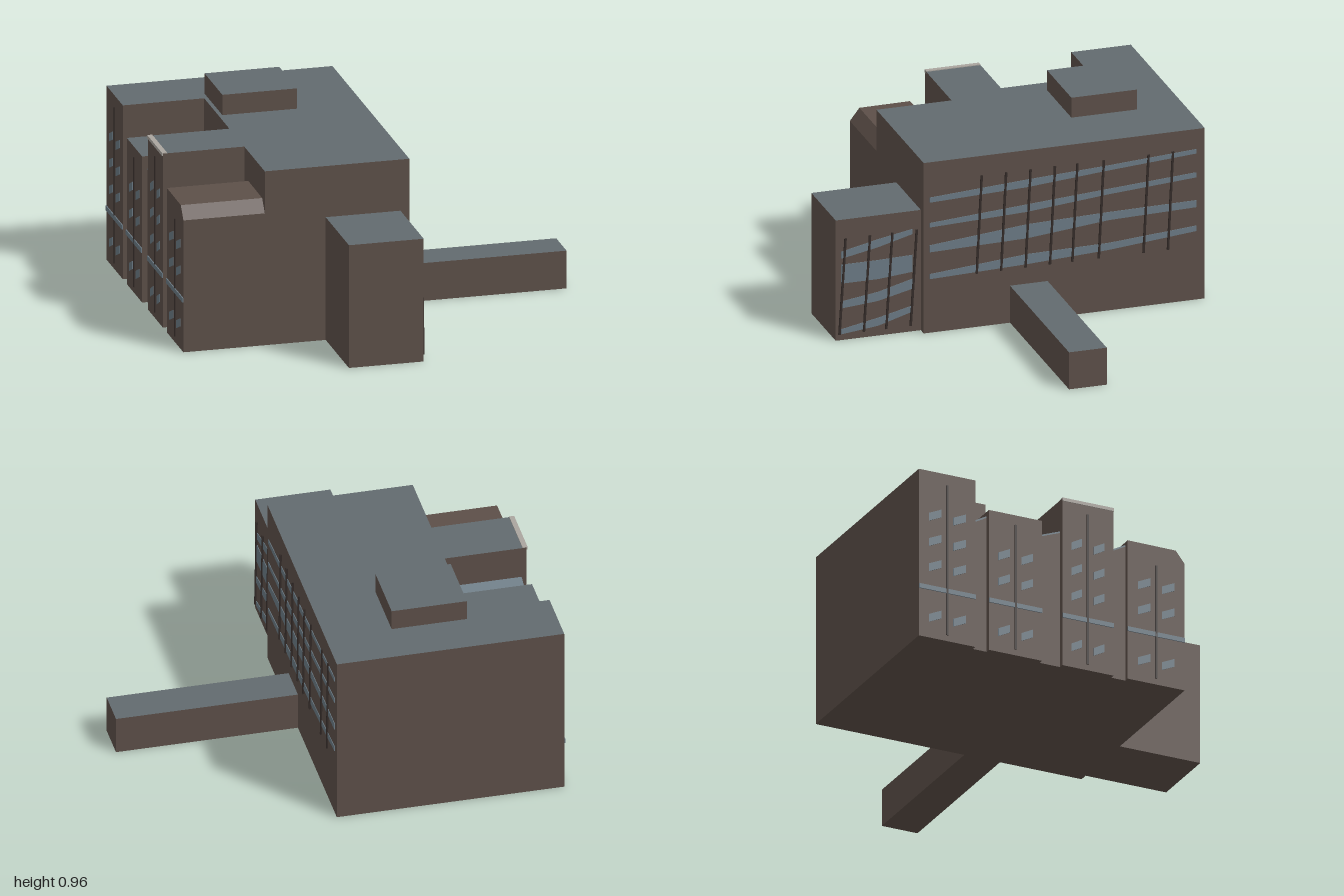
import * as THREE from 'three';

const mat = (name, color) => {
  const m = new THREE.MeshStandardMaterial({ color });
  m.name = name;
  return m;
};

export function createModel() {
  const wall = mat('brown wall', 0x5c4f48);
  const roof = mat('grey roof', 0x626a6e);
  const glass = mat('blue grey glass', 0x6b7a84);
  const fin = mat('dark fin', 0x332b28);
  const coping = mat('pale coping', 0xaaa59e);

  const model = new THREE.Group();
  model.name = 'building';
  const plan = new THREE.Group(); // the whole plan is turned slightly
  plan.name = 'turnedPlan';
  plan.rotation.y = -0.066;
  model.add(plan);

  const add = (name, geo, material) => {
    const m = new THREE.Mesh(geo, material);
    m.name = name;
    plan.add(m);
    return m;
  };

  // box from extents, with its own top colour
  const block = (name, x0, x1, y0, y1, z0, z1, top = roof, side = wall) => {
    const g = new THREE.BoxGeometry(x1 - x0, y1 - y0, z1 - z0);
    g.translate((x0 + x1) / 2, (y0 + y1) / 2, (z0 + z1) / 2);
    return add(name, g, [side, side, top, side, side, side]);
  };

  // block whose top follows a z,y profile; sloped faces may take another colour
  const profileBlock = (name, x0, x1, pts) => {
    const s = new THREE.Shape(pts.map(([z, y]) => new THREE.Vector2(-z, y)));
    const g = new THREE.ExtrudeGeometry(s, { depth: x1 - x0, bevelEnabled: false });
    g.rotateY(Math.PI / 2);
    g.translate(x0, 0, 0);
    return add(name, g, wall);
  };

  // thin plate on a side facade, outline in z,y
  const plate = (name, x, side, pts, material, depth = 0.005) => {
    const s = new THREE.Shape(pts.map(([z, y]) => new THREE.Vector2(-side * z, y)));
    const g = new THREE.ExtrudeGeometry(s, { depth, bevelEnabled: false });
    g.rotateY(side * Math.PI / 2);
    g.translate(x, 0, 0);
    return add(name, g, material);
  };

  const L = -0.97, M = -0.577, R = 0.121, H = 0.857;

  // main volumes
  block('mainBlock', M, R, 0, H, -0.872, 0.509);
  block('frontWing', -0.283, 0.078, 0, 0.605, 0.5, 0.927);
  block('sidePassage', R - 0.01, 0.994, 0, 0.186, -0.1, 0.085);
  block('roofHouse', -0.558, -0.197, H - 0.01, 0.957, -0.644, -0.323);

  // stepped bays along the left-hand facade
  block('rearBay', L, M, 0, H, -0.872, -0.579);
  block('lowBay', L, M, 0, 0.72, -0.508, -0.232);
  block('tallBay', L, M, 0, H, -0.127, 0.14);
  profileBlock('frontBay', L, M, [[0.213, 0], [0.213, 0.712], [0.462, 0.71], [0.509, 0.65], [0.509, 0]]);

  // recessed slots between the bays, with sloping glass on top
  for (const [z0, z1] of [[-0.579, -0.508], [-0.232, -0.127], [0.14, 0.213]]) {
    profileBlock('slot', L + 0.025, M, [[z0, 0], [z0, 0.65], [z1, 0.69], [z1, 0]]);
    const g = new THREE.BoxGeometry(M - L - 0.025, 0.008, Math.hypot(z1 - z0, 0.04));
    const s = add('slotSkylight', g, glass);
    s.position.set((L + 0.025 + M) / 2, 0.674, (z0 + z1) / 2);
    s.rotation.x = -Math.atan2(0.04, z1 - z0);
  }
  block('tallBayCoping', L - 0.004, L + 0.02, H - 0.012, H + 0.004, -0.127, 0.14, coping, coping);

  // bay windows and the string course
  for (const [z0, z1, top] of [[-0.85, -0.6, 0.8], [-0.49, -0.25, 0.67], [-0.11, 0.12, 0.8], [0.235, 0.485, 0.61]]) {
    const w = (z1 - z0) / 2;
    for (let c = 0; c < 2; c++) {
      const a = z0 + c * w + 0.03, b = z0 + (c + 1) * w - 0.03;
      for (let y = 0.08; y + 0.07 < top; y += 0.13) {
        if (y > 0.19 && y < 0.25) continue;
        plate('bayWindow', L, -1, [[a, y], [b, y + 0.03], [b, y + 0.07], [a, y + 0.04]], glass, 0.003);
      }
    }
    plate('bayFin', L, -1, [[z0 + w - 0.005, 0.03], [z0 + w + 0.005, 0.03],
      [z0 + w + 0.005, top], [z0 + w - 0.005, top]], fin);
  }
  for (const [z0, z1] of [[-0.872, -0.579], [-0.508, -0.232], [-0.127, 0.14], [0.213, 0.509]])
    plate('stringCourse', L, -1, [[z0, 0.245], [z1, 0.245], [z1, 0.268], [z0, 0.268]], glass);

  // window bands: each row lists z, bottom, top from front to back
  const bands = (name, x, rows) => rows.forEach((r) => plate(name, x, 1,
    [...r.map(([z, lo]) => [z, lo]), ...[...r].reverse().map(([z, , hi]) => [z, hi])], glass, 0.003));
  bands('mainWindowBand', R, [
    [[0.48, 0.27, 0.295], [0, 0.285, 0.335], [-0.4, 0.305, 0.34], [-0.83, 0.345, 0.372]],
    [[0.48, 0.405, 0.44], [0, 0.415, 0.485], [-0.4, 0.455, 0.495], [-0.83, 0.465, 0.5]],
    [[0.48, 0.53, 0.552], [0, 0.548, 0.585], [-0.4, 0.585, 0.612], [-0.83, 0.615, 0.64]],
    [[0.48, 0.655, 0.68], [0, 0.672, 0.71], [-0.4, 0.705, 0.73], [-0.83, 0.735, 0.757]],
  ]);
  bands('wingWindowBand', 0.078, [
    [[0.9, 0.03, 0.055], [0.72, 0.05, 0.09], [0.55, 0.1, 0.13]],
    [[0.9, 0.16, 0.195], [0.72, 0.175, 0.22], [0.55, 0.215, 0.265]],
    [[0.9, 0.285, 0.38], [0.72, 0.285, 0.38], [0.55, 0.3, 0.385]],
    [[0.9, 0.41, 0.445], [0.72, 0.445, 0.485], [0.55, 0.49, 0.515]],
  ]);

  // slightly leaning fins across the bands
  const fins = (name, x, zs, y0, y1, lean) => zs.forEach((z) => plate(name, x, 1,
    [[z + 0.005, y0], [z - 0.005, y0], [z - 0.005 - lean, y1], [z + 0.005 - lean, y1]], fin, 0.008));
  fins('mainFin', R, [0.25, 0.13, 0.01, -0.11, -0.22, -0.35, -0.57, -0.69], 0.27, 0.76, 0.025);
  fins('wingFin', 0.078, [0.91, 0.79, 0.68, 0.56], 0.03, 0.51, 0.03);

  return model;
}
